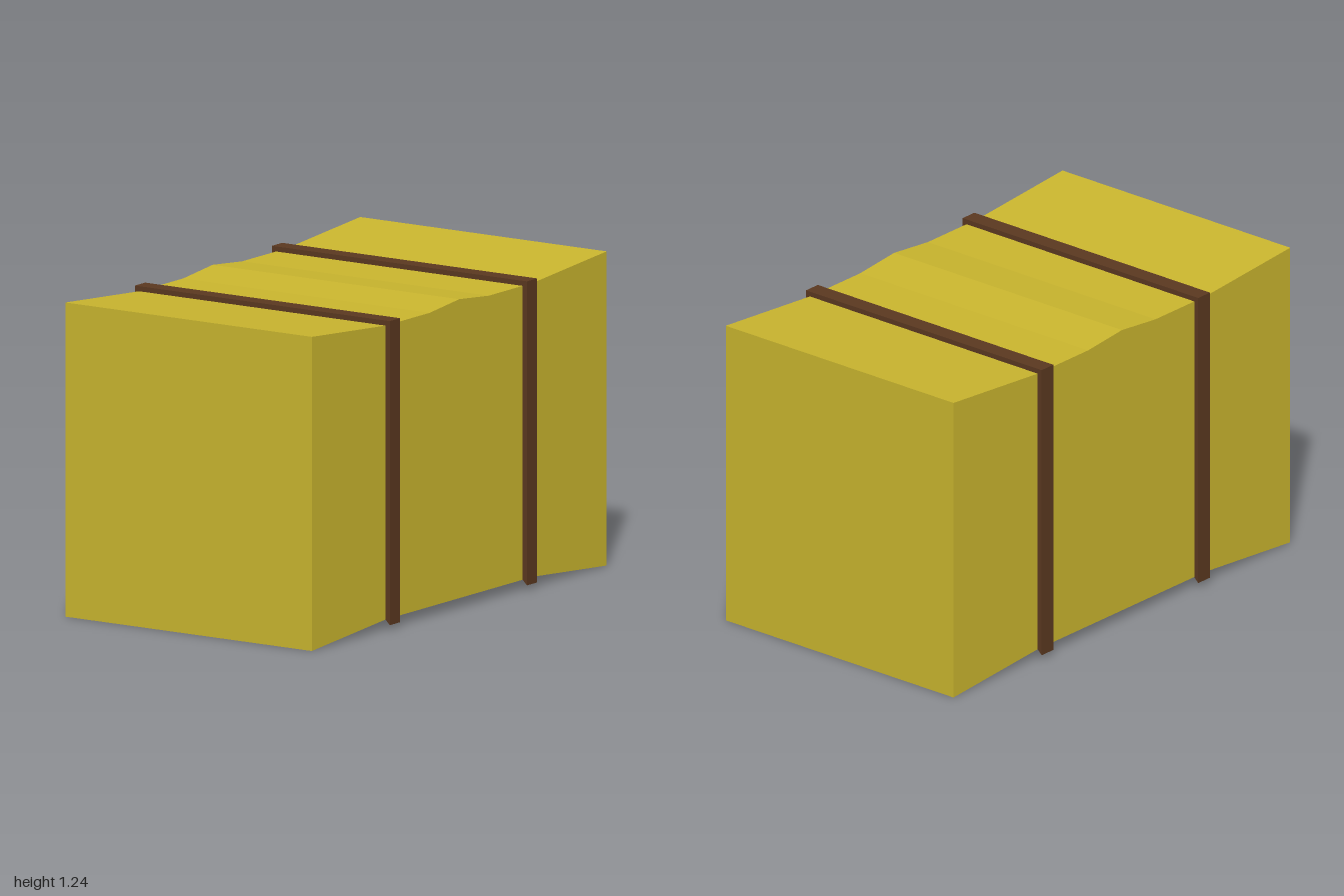
import * as THREE from 'three';

// Extrude an outline of [x, y] points, centred on its depth
function prism(points, depth) {
  const shape = new THREE.Shape(points.map(([x, y]) => new THREE.Vector2(x, y)));
  const geometry = new THREE.ExtrudeGeometry(shape, { depth, bevelEnabled: false });
  return geometry.translate(0, 0, -depth / 2);
}

function addMesh(group, name, geometry, material) {
  const mesh = new THREE.Mesh(geometry, material);
  mesh.name = name;
  group.add(mesh);
  return mesh;
}

export function createModel() {
  const group = new THREE.Group();
  group.name = 'strappedBale';
  const straw = new THREE.MeshStandardMaterial({ color: 0xc9b52e });
  const leather = new THREE.MeshStandardMaterial({ color: 0x5a3820 });

  // Bale: side outline pinched in at the straps, with a small ridge on top
  const side = [
    [-1, 0], [-0.5, 0.04], [0.5, 0.04], [1, 0],
    [1, 1.24], [0.5, 1.2], [0.2, 1.2], [0, 1.22], [-0.2, 1.2], [-0.5, 1.2], [-1, 1.24],
  ];
  addMesh(group, 'bale', prism(side, 1.16).rotateY(Math.PI / 2), straw);

  // Straps: bands over the top and down both sides, cut at an angle at the bottom
  const band = [
    [0.6, 0.02], [0.6, 1.22], [-0.6, 1.22], [-0.6, 0.02],
    [-0.58, 0.04], [-0.58, 1.2], [0.58, 1.2], [0.58, 0.04],
  ];
  const strap = prism(band, 0.07);
  for (const [name, z] of [['frontStrap', 0.465], ['backStrap', -0.465]]) {
    addMesh(group, name, strap, leather).position.z = z;
  }
  return group;
}
